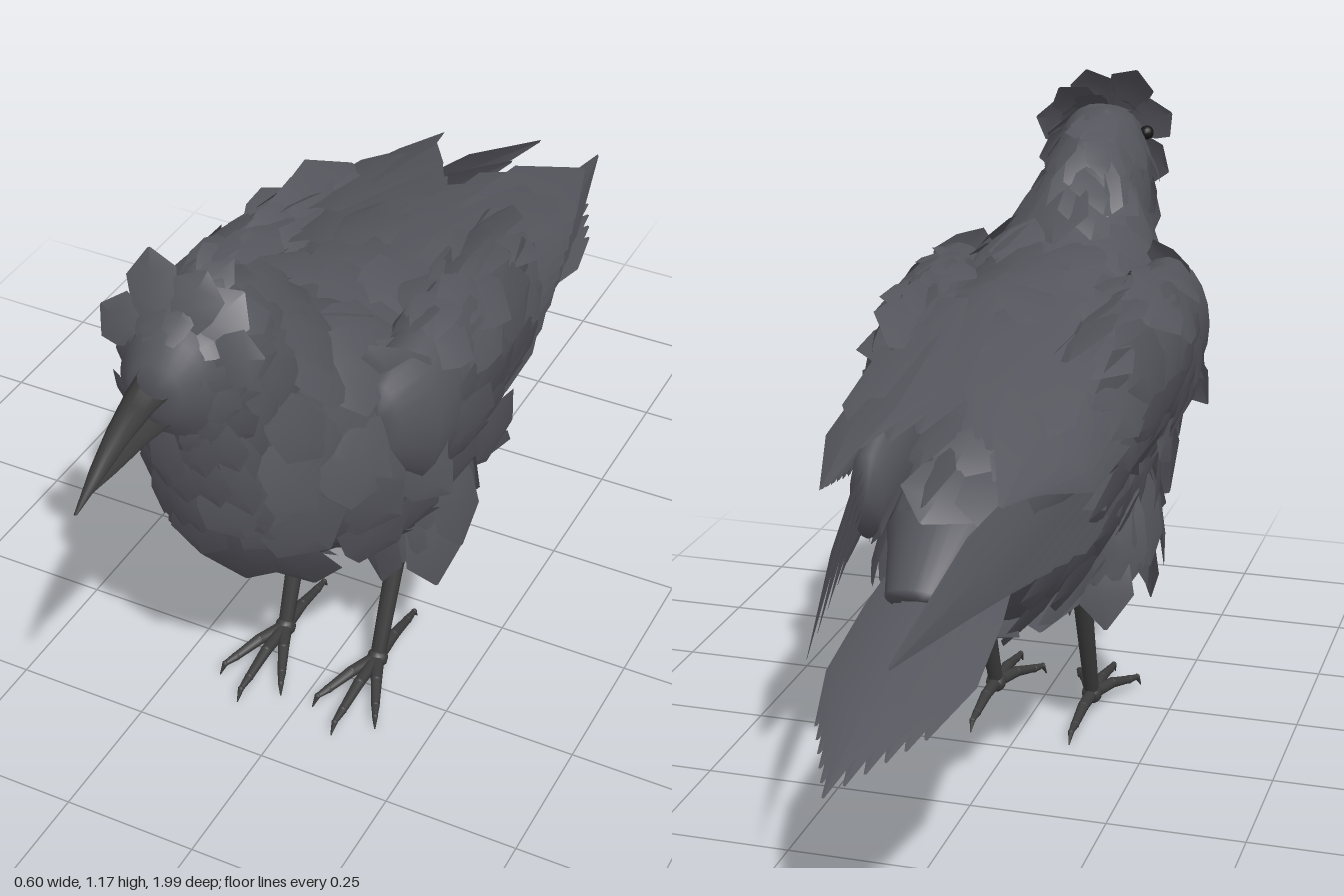
import * as THREE from 'three';
import { mergeGeometries } from 'three/addons/utils/BufferGeometryUtils.js';

const V = (x, y, z) => new THREE.Vector3(x, y, z);
const material = (color, side = THREE.FrontSide) => new THREE.MeshStandardMaterial({ color, side });
const plumage = material(0x55555d, THREE.DoubleSide);
const horn = material(0x3c3c3c);
const eyeBlack = material(0x161616);

let seed = 7;
const rand = (a = 0, b = 1) => {
  seed = (seed * 16807) % 2147483647;
  return a + (b - a) * seed / 2147483647;
};

// Cross-sections are [topZ, topY, bottomZ, bottomY, halfWidth, centreX], from front to back
function surfacePoint(sections, u, angle, size = 1) {
  u = THREE.MathUtils.clamp(u, 0, sections.length - 1);
  const i = Math.min(Math.floor(u), sections.length - 2);
  const s = sections[i].map((v, k) => THREE.MathUtils.lerp(v, sections[i + 1][k], u - i));
  const c = Math.cos(angle) * size;
  return V((s[5] || 0) + s[4] * Math.sin(angle) * size,
    (s[1] + s[3] + (s[1] - s[3]) * c) / 2,
    (s[0] + s[2] + (s[0] - s[2]) * c) / 2);
}

function loft(sections, sides = 20) {
  const positions = [], index = [], last = sections.length - 1;
  const rings = [[0, 0], ...sections.map((_, i) => [i, 1]), [last, 0]];
  for (const [u, size] of rings)
    for (let k = 0; k < sides; k++)
      positions.push(...surfacePoint(sections, u, k / sides * Math.PI * 2, size).toArray());
  for (let r = 0; r < rings.length - 1; r++)
    for (let k = 0; k < sides; k++) {
      const a = r * sides + k, b = r * sides + (k + 1) % sides;
      index.push(a, b, a + sides, b, b + sides, a + sides);
    }
  return finish(positions, index);
}

function finish(positions, index) {
  const g = new THREE.BufferGeometry();
  g.setAttribute('position', new THREE.Float32BufferAttribute(positions, 3));
  g.setIndex(index);
  g.computeVertexNormals();
  return g;
}

// One angular feather, creased along its shaft and bowed along its length
const outline = [[0, 0.45], [0.35, 0.88], [0.7, 1], [1, 0.05]];
function feather(root, tip, normal, width, bow = 0.06) {
  const along = tip.clone().sub(root), length = along.length();
  const side = normal.clone().cross(along).normalize();
  const up = along.clone().cross(side).normalize();
  const positions = [], index = [];
  outline.forEach(([t, w], j) => {
    for (const k of [-1, 0, 1]) {
      const lift = 4 * t * (1 - t) * bow * length - Math.abs(k) * w * width * 0.08;
      positions.push(...root.clone().addScaledVector(along, t)
        .addScaledVector(side, k * w * width / 2).addScaledVector(up, lift).toArray());
    }
    if (j) for (const k of [0, 1]) {
      const a = (j - 1) * 3 + k;
      index.push(a, a + 1, a + 3, a + 1, a + 4, a + 3);
    }
  });
  return finish(positions, index);
}

// Ragged, overlapping feathers following a lofted surface
function coat(sections, { from, to, rows, count, length, width, lift, arc = [0, Math.PI * 2] }) {
  const list = [];
  for (let r = 0; r < rows; r++)
    for (let k = 0; k < count; k++) {
      const f = r / (rows - 1), u = THREE.MathUtils.lerp(from, to, f) + rand(-0.15, 0.15);
      const a = arc[0] + (arc[1] - arc[0]) * (k + (r % 2) / 2 + rand(-0.25, 0.25)) / count;
      const p = surfacePoint(sections, u, a);
      const along = surfacePoint(sections, u + 0.3, a).sub(surfacePoint(sections, u - 0.3, a)).normalize();
      const around = surfacePoint(sections, u, a + 0.05).sub(surfacePoint(sections, u, a - 0.05)).normalize();
      const n = around.clone().cross(along).normalize();
      const L = THREE.MathUtils.lerp(length[0], length[1], f) * rand(0.75, 1.2);
      const w = THREE.MathUtils.lerp(width[0], width[1], f) * rand(0.8, 1.15);
      const tip = p.clone().addScaledVector(along, L * 0.8).addScaledVector(n, L * lift * rand(0, 1.5))
        .addScaledVector(around, L * rand(-0.25, 0.25));
      p.addScaledVector(along, -L * 0.2).addScaledVector(n, -0.004);
      list.push(feather(p, tip, n.addScaledVector(around, rand(-0.2, 0.2)), w));
    }
  return mergeGeometries(list);
}

function add(parent, name, geometry, mat) {
  const mesh = new THREE.Mesh(geometry, mat);
  mesh.name = name;
  parent.add(mesh);
}

function rod(a, b, r1, r2) {
  const d = b.clone().sub(a);
  const g = new THREE.CylinderGeometry(r2, r1, d.length(), 10);
  g.applyQuaternion(new THREE.Quaternion().setFromUnitVectors(V(0, 1, 0), d.normalize()));
  return g.translate(...a.clone().add(b).multiplyScalar(0.5).toArray());
}

const bodySections = [
  [0.765, 1.05, 0.77, 0.96, 0.045], [0.73, 1.085, 0.755, 0.92, 0.075], [0.63, 1.105, 0.71, 0.85, 0.095],
  [0.53, 1.06, 0.67, 0.74, 0.1], [0.45, 0.98, 0.61, 0.62, 0.14], [0.35, 0.91, 0.51, 0.5, 0.21],
  [0.2, 0.875, 0.37, 0.41, 0.235], [0.05, 0.84, 0.2, 0.33, 0.235], [-0.1, 0.78, 0.02, 0.31, 0.21],
  [-0.25, 0.7, -0.16, 0.32, 0.165], [-0.4, 0.61, -0.31, 0.39, 0.11], [-0.55, 0.53, -0.48, 0.46, 0.06]];
const wingSections = [
  [0.41, 0.84, 0.42, 0.7, 0.04, 0.19], [0.36, 0.875, 0.38, 0.62, 0.08, 0.205], [0.2, 0.875, 0.2, 0.57, 0.085, 0.2],
  [0, 0.835, 0, 0.55, 0.08, 0.165], [-0.2, 0.775, -0.2, 0.55, 0.065, 0.145], [-0.4, 0.7, -0.4, 0.55, 0.03, 0.13]];

function makeWing() {
  const wing = new THREE.Group();
  add(wing, 'wingCore', loft(wingSections), plumage);
  add(wing, 'wingCoverts', coat(wingSections, { from: 1.4, to: 3, rows: 5, count: 8,
    length: [0.12, 0.23], width: [0.1, 0.13], lift: 0.07, arc: [-0.7, 2.6] }), plumage);
  // Feathers wrapping the bend of the wing in front
  const bend = [];
  for (let i = 0; i < 5; i++)
    bend.push(feather(V(0.16 + 0.012 * i, 0.88 - 0.045 * i, 0.405), V(0.26 + 0.008 * i, 0.8 - 0.05 * i, 0.34),
      V(0.6, 0.1, 0.8), 0.1));
  add(wing, 'bendFeathers', mergeGeometries(bend), plumage);
  // Long flight feathers stacked from the back down to the flank
  const flight = [];
  for (let i = 0; i < 6; i++) {
    const f = i / 5;
    flight.push(feather(V(0.13 + 0.1 * f, 0.845 - 0.12 * f, 0.08), V(0.15 + 0.01 * f, 0.69 - 0.03 * f, -0.56 + 0.16 * f),
      V(0.5 + 0.5 * f, 1 - 0.4 * f, 0), 0.15, 0.04));
    flight.push(feather(V(0.23 - 0.01 * f, 0.71 - 0.12 * f, 0.1), V(0.065 + 0.1 * f, 0.53, -0.86 + 0.5 * f),
      V(1, 0.35, 0), 0.12, 0.02));
  }
  // Broad feathers closing over the back
  for (let i = 0; i < 3; i++)
    flight.push(feather(V(0.06 + 0.03 * i, 0.86, 0.22 - 0.1 * i), V(0.05 + 0.035 * i, 0.73, -0.36 - 0.05 * i), V(0.2, 1, 0), 0.17, 0.03));
  add(wing, 'flightFeathers', mergeGeometries(flight), plumage);
  return wing;
}

function makeLeg() {
  const leg = new THREE.Group(), ankle = V(0.097, 0.035, 0.21), parts = [];
  add(leg, 'thigh', new THREE.SphereGeometry(1, 16, 12).scale(0.075, 0.11, 0.1).translate(0.12, 0.4, 0.14), plumage);
  const skirt = [];
  for (let row = 0; row < 2; row++)
    for (let k = 0; k < 10; k++) {
      const a = (k + row / 2) / 10 * Math.PI * 2, s = Math.sin(a), c = Math.cos(a);
      skirt.push(feather(V(0.13 + (0.085 - row * 0.02) * s, 0.54 - row * 0.08, 0.14 + 0.1 * c),
        V(0.135 + (0.1 - row * 0.025) * s + rand(-0.02, 0.02), 0.36 - row * 0.08 + rand(-0.03, 0.04), 0.13 + 0.12 * c),
        V(s, 0, c), 0.11));
    }
  add(leg, 'thighFeathers', mergeGeometries(skirt), plumage);
  parts.push(rod(V(0.1, 0.32, 0.1), ankle, 0.019, 0.014));
  parts.push(new THREE.SphereGeometry(0.023, 12, 8).translate(0.1, 0.285, 0.113));
  parts.push(new THREE.SphereGeometry(0.02, 12, 8).translate(...ankle.toArray()));
  // Three toes forward, one back, each ending in a curved claw
  for (const [x, z] of [[0, 0.19], [-0.064, 0.14], [0.064, 0.14], [0, -0.17]]) {
    const at = (t, y) => V(ankle.x + x * t, y, ankle.z + z * t);
    const path = [ankle, at(0.4, 0.036), at(0.75, 0.025), at(0.92, 0.022), at(1, 0.002)];
    for (let i = 0; i < 4; i++) {
      parts.push(rod(path[i], path[i + 1], 0.013 - i * 0.0025, 0.0105 - i * 0.0028 + (i > 2 ? -0.001 : 0)));
      if (i) parts.push(new THREE.SphereGeometry(0.0135 - i * 0.0025, 8, 6).translate(...path[i].toArray()));
    }
  }
  add(leg, 'shankAndToes', mergeGeometries(parts), horn);
  return leg;
}

export function createModel() {
  seed = 7;
  const bird = new THREE.Group();
  bird.name = 'bird';
  add(bird, 'body', loft(bodySections, 28), plumage);
  add(bird, 'headFeathers', coat(bodySections, { from: 1.1, to: 3.4, rows: 7, count: 10,
    length: [0.07, 0.15], width: [0.055, 0.1], lift: 0.13 }), plumage);
  add(bird, 'bodyFeathers', coat(bodySections, { from: 3.6, to: 9.4, rows: 11, count: 12,
    length: [0.18, 0.19], width: [0.14, 0.13], lift: 0.13 }), plumage);

  // Ruffled crest standing around the back of the face
  const crest = [];
  for (const [x, y, z] of [[-0.07, 1.17, 0.65], [0.035, 1.165, 0.66], [0.085, 1.13, 0.64], [0.145, 1.06, 0.69],
    [0.12, 0.97, 0.66], [-0.13, 1.08, 0.7], [-0.135, 0.97, 0.66]])
    crest.push(feather(V(x * 0.4, 1.03 + (y - 1.03) * 0.35, 0.71), V(x, y, z), V(0, 0.3, 1), 0.09));
  add(bird, 'crest', mergeGeometries(crest), plumage);

  // Shaggy throat hackles
  const throat = [];
  for (let i = 0; i < 15; i++) {
    const x = (i % 5 - 2) * 0.034, y = 0.94 - Math.floor(i / 5) * 0.09;
    throat.push(feather(V(x, y, 0.755 - (0.94 - y) * 0.38 - Math.abs(x) * 0.5),
      V(x * 1.4, y - rand(0.1, 0.15), 0.735 - (0.94 - y) * 0.42 - Math.abs(x) * 0.6), V(x * 6, 0, 1), 0.06));
  }
  add(bird, 'throatFeathers', mergeGeometries(throat), plumage);

  add(bird, 'upperBeak', loft([[0.73, 1.052, 0.73, 0.99, 0.036], [0.82, 1.036, 0.8, 0.99, 0.026],
    [0.88, 1.014, 0.87, 0.978, 0.019], [0.94, 0.982, 0.93, 0.958, 0.012], [1, 0.94, 0.995, 0.936, 0.002]], 14), horn);
  add(bird, 'lowerBeak', loft([[0.73, 0.975, 0.74, 0.935, 0.03], [0.82, 0.972, 0.82, 0.944, 0.02],
    [0.9, 0.961, 0.9, 0.945, 0.012], [0.96, 0.95, 0.96, 0.946, 0.002]], 14), horn);

  // Tail fan, highest in the middle
  const tail = [];
  for (let i = -5; i <= 5; i++) {
    const d = Math.abs(i);
    tail.push(feather(V(i * 0.017, 0.55 - d * 0.009, -0.28), V(i * 0.018 - 0.005, 0.372 + d * 0.002, -0.99 + d * 0.042),
      V(i * 0.05, 1, 0), 0.08, 0.01));
  }
  add(bird, 'tail', mergeGeometries(tail), plumage);

  // Paired parts: the left is built, the right is its mirror image; the stance leans slightly to the right
  const eye = new THREE.Group();
  add(eye, 'eyeball', new THREE.SphereGeometry(0.014, 14, 10).translate(0.082, 1.04, 0.69), eyeBlack);
  for (const [name, part, shift] of [['Wing', makeWing(), 0], ['Leg', makeLeg(), -0.008], ['Eye', eye, 0]]) {
    const mirrored = part.clone();
    mirrored.scale.x = -1;
    part.position.x = mirrored.position.x = shift;
    part.name = 'left' + name;
    mirrored.name = 'right' + name;
    bird.add(part, mirrored);
  }
  return bird;
}
